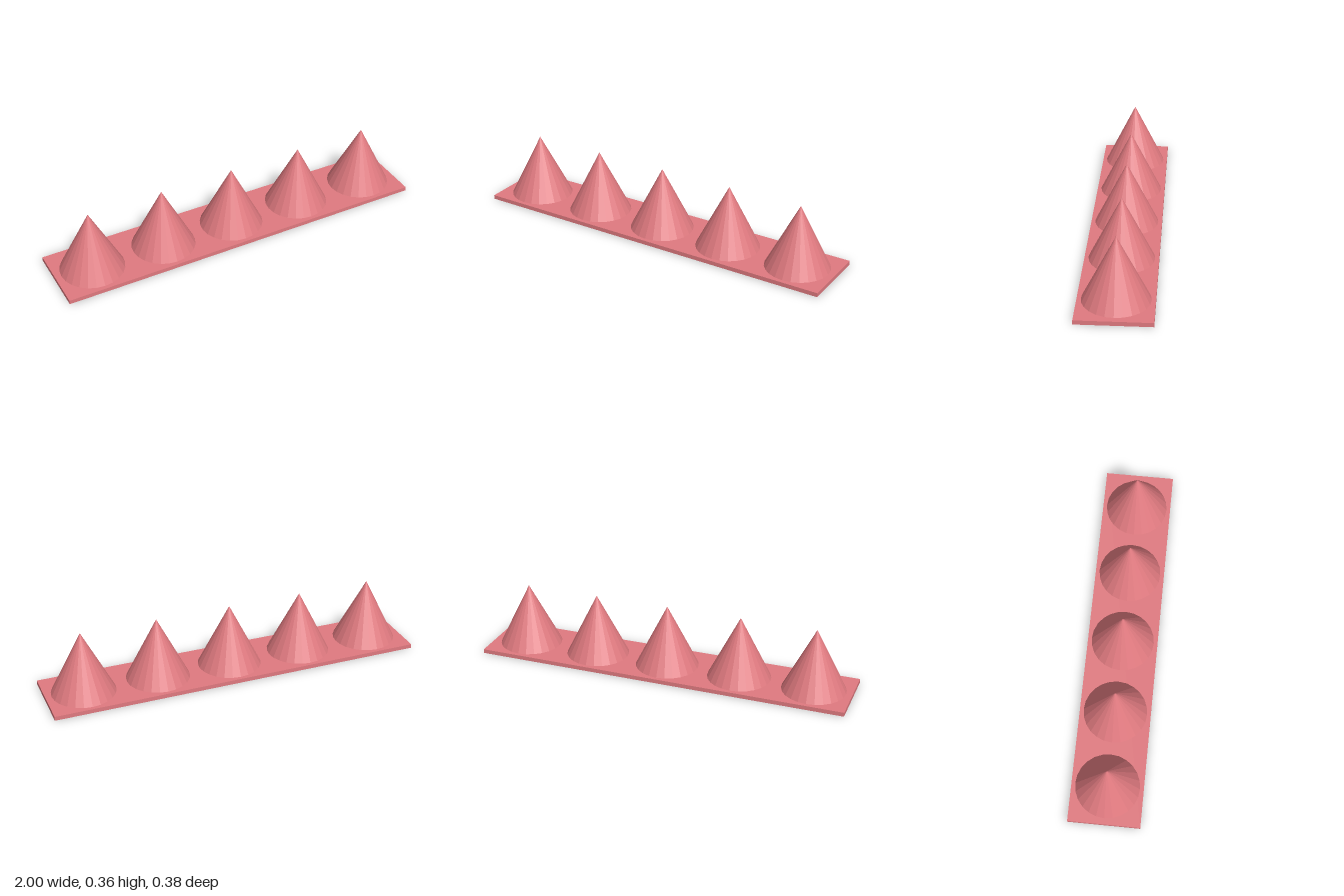
import * as THREE from 'three';

export function createModel() {
  const model = new THREE.Group();
  model.name = 'spikeStrip';
  const material = new THREE.MeshStandardMaterial({ color: 0xe07a80, flatShading: true });

  const baseHeight = 0.022;
  const spikeHeight = 0.335;

  // Thin base plate
  const base = new THREE.Mesh(new THREE.BoxGeometry(2, baseHeight, 0.376), material);
  base.name = 'basePlate';
  base.position.y = baseHeight / 2;
  model.add(base);

  // Row of five evenly spaced spikes
  const spikeGeometry = new THREE.ConeGeometry(0.168, spikeHeight, 24);
  for (let i = 0; i < 5; i++) {
    const spike = new THREE.Mesh(spikeGeometry, material);
    spike.name = `spike${i + 1}`;
    spike.position.set((i - 2) * 0.4, baseHeight + spikeHeight / 2, 0);
    model.add(spike);
  }

  return model;
}
